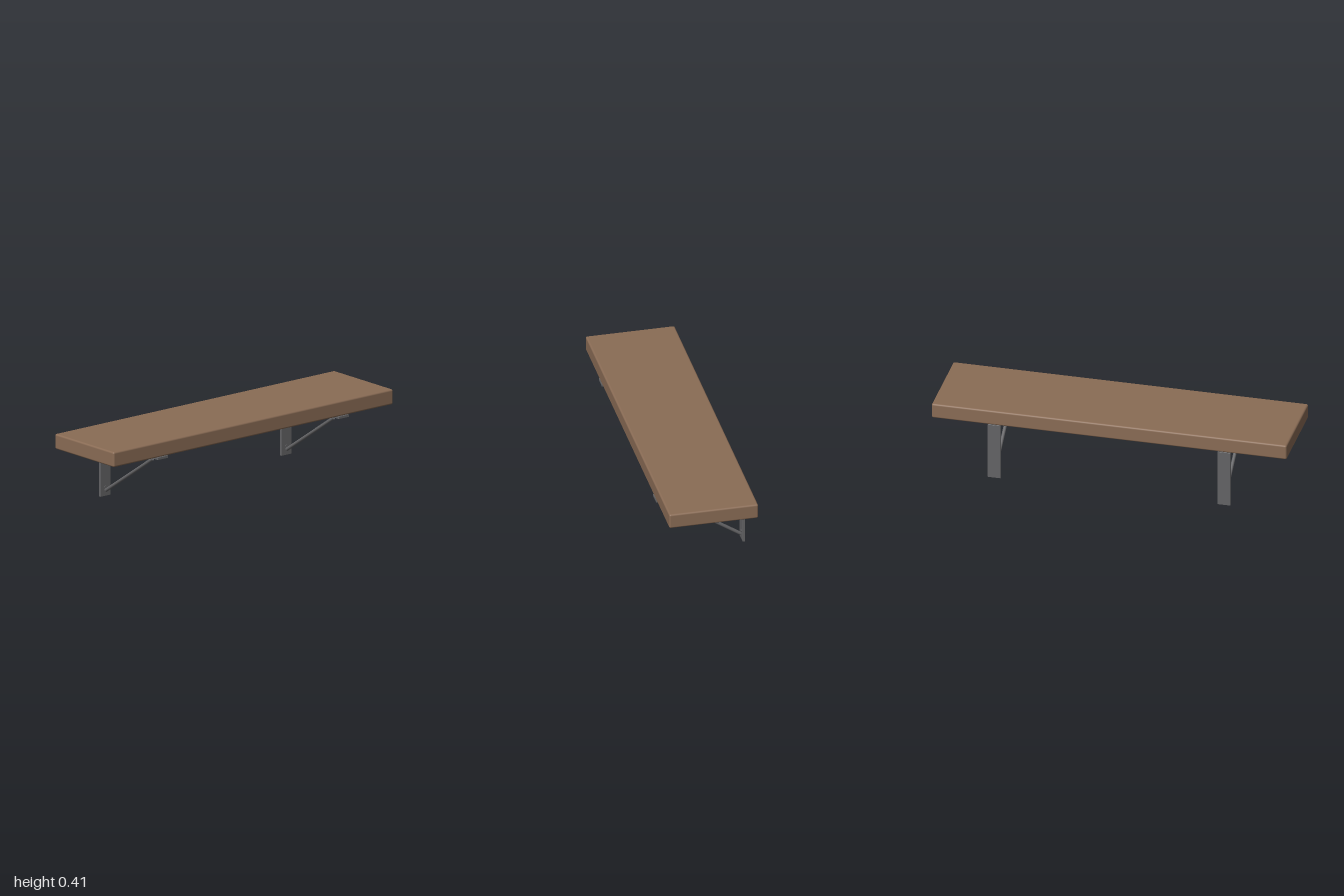
import * as THREE from 'three';
import { RoundedBoxGeometry } from 'three/addons/geometries/RoundedBoxGeometry.js';

export function createModel() {
  const wood = new THREE.MeshStandardMaterial({ color: 0x8a6c55 });
  wood.name = 'brown wood';
  const metal = new THREE.MeshStandardMaterial({ color: 0x646466 });
  metal.name = 'dark grey metal';

  const model = new THREE.Group();
  model.name = 'wallShelf';

  // Box with softened edges, given by its y and z limits
  function slab(name, width, y0, y1, z0, z1, radius, material) {
    const mesh = new THREE.Mesh(new RoundedBoxGeometry(width, y1 - y0, z1 - z0, 3, radius), material);
    mesh.position.set(0, (y0 + y1) / 2, (z0 + z1) / 2);
    mesh.name = name;
    return mesh;
  }

  // Round bar between two points
  function rod(name, from, to, radius, sides) {
    const dir = to.clone().sub(from);
    const mesh = new THREE.Mesh(new THREE.CylinderGeometry(radius, radius, dir.length(), sides), metal);
    mesh.position.copy(from).add(to).multiplyScalar(0.5);
    mesh.quaternion.setFromUnitVectors(new THREE.Vector3(0, 1, 0), dir.normalize());
    mesh.name = name;
    return mesh;
  }

  // Thick board
  model.add(slab('shelfBoard', 2, 0.327, 0.413, -0.25, 0.25, 0.01, wood));

  // Two triangular brackets
  for (const [name, x] of [['leftBracket', 0.647], ['rightBracket', -0.647]]) {
    const bracket = new THREE.Group();
    bracket.name = name;
    bracket.position.x = x;
    bracket.add(slab('wallPlate', 0.073, 0, 0.327, -0.25, -0.236, 0.002, metal));
    bracket.add(slab('supportArm', 0.073, 0.312, 0.327, -0.174, 0.25, 0.002, metal));
    bracket.add(rod('diagonalBrace',
      new THREE.Vector3(0, 0.033, -0.234), new THREE.Vector3(0, 0.2955, 0.163), 0.0095, 20));
    for (const y of [0.052, 0.277]) {
      bracket.add(rod('screwHead',
        new THREE.Vector3(0, y, -0.238), new THREE.Vector3(0, y, -0.233), 0.008, 16));
    }
    model.add(bracket);
  }
  return model;
}
